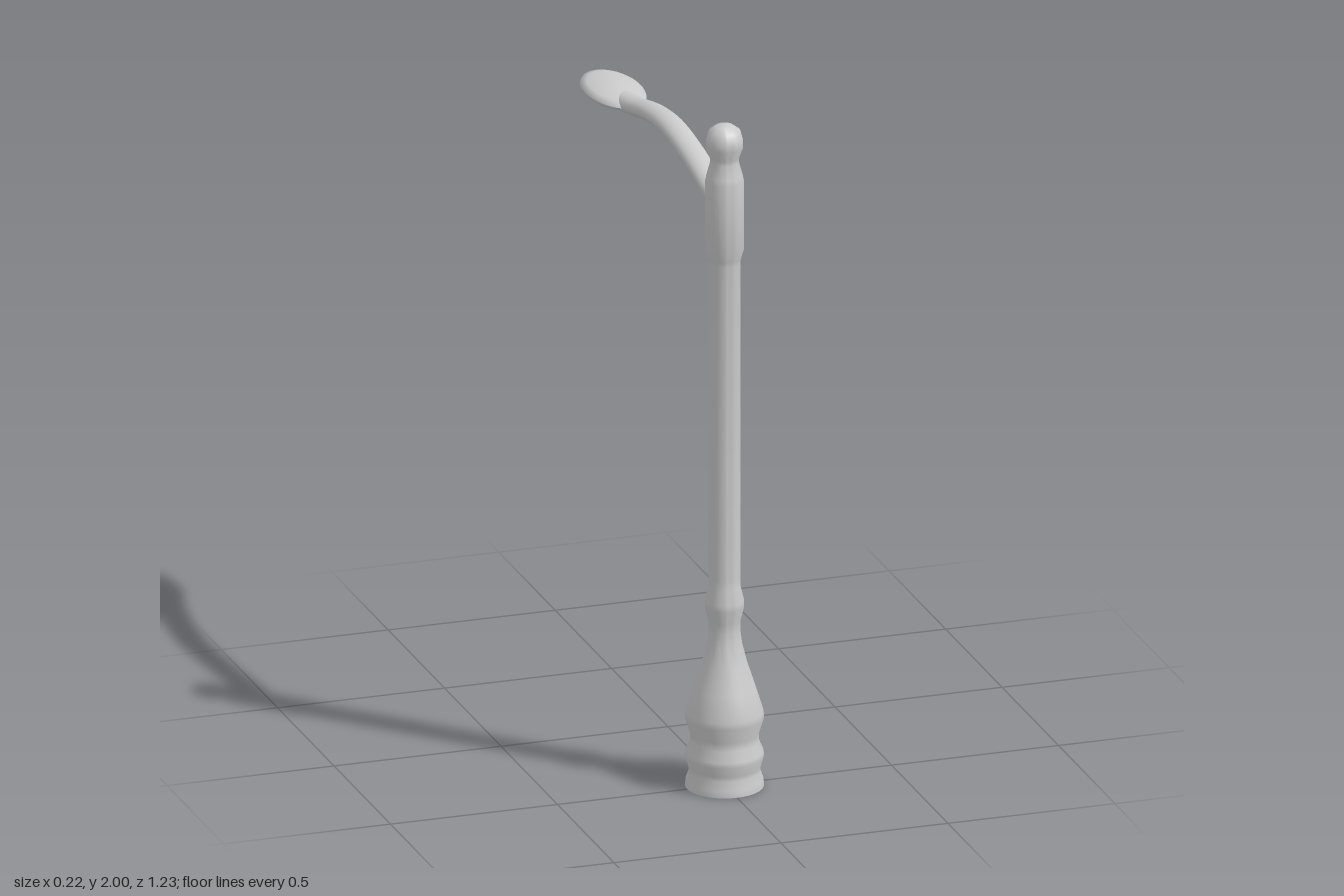
import * as THREE from 'three';
import { toCreasedNormals } from 'three/addons/utils/BufferGeometryUtils.js';

const material = new THREE.MeshStandardMaterial({ color: 0xcccccc });

function addMesh(group, name, geometry) {
  const mesh = new THREE.Mesh(geometry, material);
  mesh.name = name;
  group.add(mesh);
  return mesh;
}

// Turned solid from [radius, height] pairs, listed bottom to top
function turned(profile, crease) {
  const points = profile.map(([r, y]) => new THREE.Vector2(r, y));
  return toCreasedNormals(new THREE.LatheGeometry(points, 40), crease);
}

export function createModel() {
  const group = new THREE.Group();
  group.name = 'streetLamp';

  // Post: ringed foot, flared base, shaft, collar and rounded cap
  const post = addMesh(group, 'post', turned([
    [0, 0], [0.112, 0], [0.111, 0.02], [0.102, 0.045], [0.103, 0.06], [0.112, 0.09],
    [0.111, 0.105], [0.098, 0.135], [0.098, 0.16], [0.112, 0.205], [0.111, 0.225],
    [0.088, 0.3], [0.065, 0.37], [0.05, 0.43], [0.045, 0.47], [0.046, 0.5],
    [0.056, 0.54], [0.056, 0.56], [0.046, 0.6], [0.045, 0.63],
    [0.045, 1.58], [0.047, 1.595], [0.055, 1.62], [0.055, 1.83],
    [0.052, 1.845], [0.041, 1.885], [0.042, 1.9], [0.053, 1.93], [0.053, 1.95],
    [0.045, 1.98], [0.025, 1.995], [0, 2],
  ], 0.8));
  post.position.z = 0.5;

  // Arm: gently arched tube, wider than it is tall
  const path = new THREE.CatmullRomCurve3([
    [0.475, 1.762], [0.4, 1.773], [0.22, 1.81], [0.03, 1.828],
    [-0.13, 1.812], [-0.28, 1.778], [-0.36, 1.765], [-0.42, 1.76],
  ].map(([z, y]) => new THREE.Vector3(0, y, z)));
  const arm = addMesh(group, 'arm', new THREE.TubeGeometry(path, 48, 0.026, 24, false));
  arm.scale.x = 1.46;

  // Lamp head: oval lid with a thin rim and a shallow lens bowl below
  const head = new THREE.Group();
  head.name = 'lampHead';
  head.position.set(-0.01, 1.768, -0.455);
  head.scale.set(0.084, 1, 0.16);
  group.add(head);
  addMesh(head, 'lid', turned([
    [0, -0.012], [0.75, -0.012], [0.95, -0.009], [1, 0], [0.97, 0.006],
    [0.8, 0.013], [0.55, 0.019], [0.28, 0.023], [0, 0.025],
  ], 1.2));
  addMesh(head, 'lens', turned([
    [0, -0.043], [0.25, -0.041], [0.45, -0.035], [0.62, -0.025], [0.76, -0.01],
  ], 1.2));

  return group;
}
